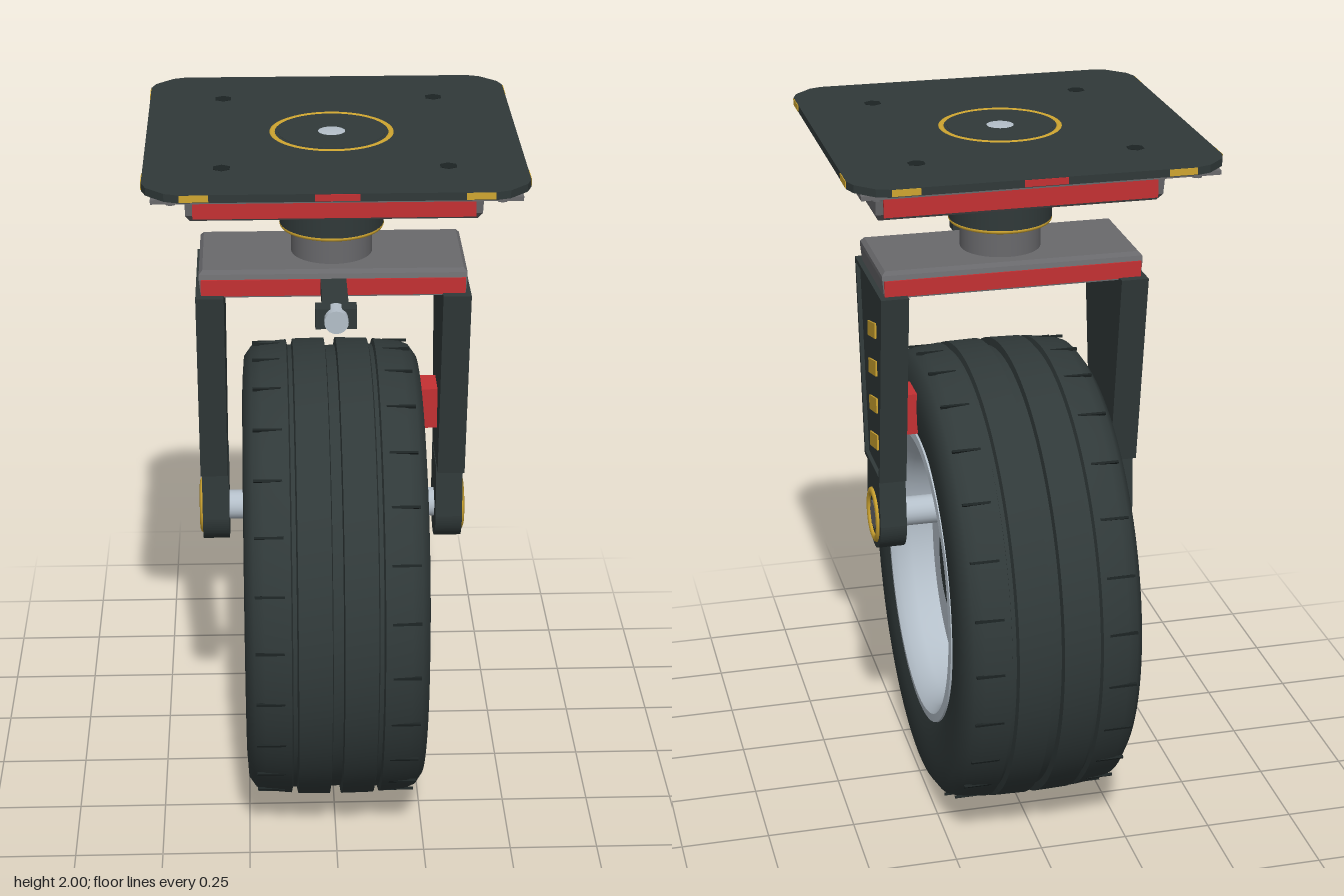
import * as THREE from 'three';
import { toCreasedNormals } from 'three/addons/utils/BufferGeometryUtils.js';

const mat = (name, color) => Object.assign(new THREE.MeshStandardMaterial({ color }), { name });

export function createModel() {
  const root = new THREE.Group();
  root.name = 'casterWheel';
  const dark = mat('darkRubberAndPaint', 0x303939);
  const black = mat('blackRecess', 0x1c2323);
  const grey = mat('greySteel', 0x69696c);
  const metal = mat('lightMetal', 0xb4bfc9);
  const yellow = mat('yellow', 0xd0a630);
  const red = mat('red', 0xc43033);

  const add = (name, geo, material, x = 0, y = 0, z = 0) => {
    const m = new THREE.Mesh(geo, material);
    m.name = name;
    m.position.set(x, y, z);
    root.add(m);
    return m;
  };
  const box = (name, material, w, h, d, x, y, z) => add(name, new THREE.BoxGeometry(w, h, d), material, x, y, z);
  // Ring or wheel turned from a closed (radius, offset) outline, on the y axis
  const turned = (pts, seg = 64) => toCreasedNormals(
    new THREE.LatheGeometry([...pts, pts[0]].map(p => new THREE.Vector2(...p)), seg), 0.6);
  // The same, with its axis along x
  const turnedX = (pts, seg) => turned(pts, seg).rotateZ(-Math.PI / 2);
  const tube = (r0, r1, a, b) => [[r1, a], [r1, b], [r0, b], [r0, a]];
  // Stack of rectangles, each [y, halfX, halfZ]
  const stack = (levels) => {
    const n = levels.length - 1;
    const g = new THREE.BoxGeometry(2, n, 2, 1, n, 1);
    const p = g.attributes.position;
    for (let i = 0; i < p.count; i++) {
      const [y, hx, hz] = levels[Math.round(p.getY(i) + n / 2)];
      p.setXYZ(i, p.getX(i) * hx, y, p.getZ(i) * hz);
    }
    const flat = g.toNonIndexed();
    flat.computeVertexNormals();
    return flat;
  };
  const poly = (pts) => new THREE.Shape(pts.map(p => new THREE.Vector2(...p)));
  // Plate drawn in the side plane, centred on its thickness along x
  const sidePlate = (shape, t) => new THREE.ExtrudeGeometry(shape, { depth: t, bevelEnabled: false, curveSegments: 20 })
    .translate(0, 0, -t / 2).rotateY(Math.PI / 2);

  // Tyre with three grooves
  const cy = 0.667;
  const half = [[0.645, 0], [0.645, 0.014], [0.667, 0.017], [0.665, 0.108], [0.647, 0.112], [0.647, 0.123],
    [0.663, 0.127], [0.656, 0.2], [0.645, 0.228], [0.615, 0.249], [0.55, 0.254], [0.48, 0.252], [0.435, 0.24], [0.43, 0.2]];
  const mirrorProfile = h => [...h.slice(1).reverse().map(([r, x]) => [r, -x]), ...h];
  add('tyre', turnedX(mirrorProfile(half), 96), dark, 0, cy, 0);

  // Shoulder cuts in the tread
  for (const s of [-1, 1]) for (let i = 0; i < 26; i++) {
    const a = (i + (s > 0 ? 0.5 : 0)) / 26 * Math.PI * 2;
    const cut = box('treadCut', black, 0.085, 0.008, 0.007, s * 0.182, cy + Math.cos(a) * 0.657, Math.sin(a) * 0.657);
    cut.rotation.x = a;
  }

  // Rim, disc, spokes and hollow hub
  add('rim', turnedX(mirrorProfile([[0.36, 0], [0.36, 0.12], [0.37, 0.19], [0.39, 0.23], [0.412, 0.248],
    [0.436, 0.246], [0.445, 0.2]]).reverse(), 72), metal, 0, cy, 0);
  add('wheelDisc', turnedX(tube(0.05, 0.333, 0.09, 0.13)), metal, 0, cy, 0);
  add('hub', turnedX(tube(0.05, 0.145, -0.1, 0.15), 48), dark, 0, cy, 0);
  add('hubSleeve', turnedX(tube(0.05, 0.078, -0.16, -0.09), 32), metal, 0, cy, 0);
  for (let i = 0; i < 8; i++) {
    const a = i / 8 * Math.PI * 2;
    const spoke = box('spoke', grey, 0.09, 0.23, 0.035, 0.05, cy + Math.cos(a) * 0.25, Math.sin(a) * 0.25);
    spoke.rotation.x = a;
    add('hubBolt', new THREE.CylinderGeometry(0.013, 0.013, 0.02, 6).rotateZ(Math.PI / 2), metal,
      -0.105, cy + Math.cos(a) * 0.112, Math.sin(a) * 0.112);
  }

  // Fork legs, links, axle pins and stripes
  const legOutline = [[-0.11, 1.015], [0.11, 1.015], [0.19, 1.588], [-0.19, 1.588]];
  const frame = poly(legOutline);
  frame.holes.push(new THREE.Path([[-0.098, 1.028], [-0.174, 1.575], [0.174, 1.575], [0.098, 1.028]]
    .map(p => new THREE.Vector2(...p))));
  const link = new THREE.Shape();
  link.moveTo(0.085, 1.02);
  link.lineTo(-0.085, 1.02);
  link.lineTo(-0.097, 0.87);
  link.absarc(0, 0.87, 0.097, Math.PI, Math.PI * 2, false);
  link.closePath();
  for (const s of [-1, 1]) {
    add('forkLeg', sidePlate(poly(legOutline), 0.066), dark, s * 0.331);
    add('forkLegEdge', sidePlate(frame, 0.012), dark, s * 0.369);
    add('axleLink', sidePlate(link, 0.076), dark, s * 0.334);
    for (let i = 0; i < 4; i++) {
      const y = 1.1 + i * 0.112;
      add('yellowStripe', sidePlate(poly([[-0.053, y - 0.035], [0.053, y - 0.008], [0.053, y + 0.037], [-0.053, y + 0.008]]), 0.006),
        yellow, s * 0.366);
    }
    add('axlePin', new THREE.CylinderGeometry(0.042, 0.042, 0.17, 24).rotateZ(Math.PI / 2), metal, s * 0.225, 0.87, 0);
    add('axleCapRing', new THREE.TorusGeometry(0.069, 0.013, 8, 32).rotateY(Math.PI / 2), yellow, s * 0.368, 0.87, 0);
    add('axleNut', new THREE.CylinderGeometry(0.042, 0.042, 0.012, 6).rotateZ(Math.PI / 2), grey, s * 0.37, 0.87, 0);
  }
  box('brakePad', red, 0.05, 0.12, 0.1, 0.276, 1.19, 0);

  // Crown joining the legs
  add('forkCrown', stack([[1.58, 0.36, 0.158], [1.632, 0.365, 0.16], [1.645, 0.365, 0.155], [1.656, 0.355, 0.147]]), grey);
  for (const s of [-1, 1]) {
    box('crownRedPanel', red, 0.72, 0.046, 0.008, 0, 1.609, s * 0.161);
    box('housingRedPanel', red, 0.75, 0.07, 0.008, 0, 1.876, s * 0.25);
  }

  // Brake lever
  box('leverArm', dark, 0.07, 0.036, 0.25, 0, 1.614, 0.27);
  box('leverHead', dark, 0.11, 0.056, 0.05, 0, 1.612, 0.372);
  add('leverKnob', new THREE.CylinderGeometry(0.032, 0.032, 0.06, 20).rotateX(Math.PI / 2), metal, 0, 1.612, 0.392);

  // Swivel neck and housing
  add('swivelNeck', new THREE.CylinderGeometry(0.112, 0.112, 0.1, 40), grey, 0, 1.69, 0);
  add('swivelRing', new THREE.TorusGeometry(0.136, 0.008, 8, 48).rotateX(Math.PI / 2), yellow, 0, 1.738, 0);
  add('swivelCollar', new THREE.CylinderGeometry(0.143, 0.143, 0.09, 40), dark, 0, 1.786, 0);
  add('swivelHousing', stack([[1.822, 0.383, 0.212], [1.845, 0.394, 0.238], [1.9, 0.396, 0.246],
    [1.95, 0.383, 0.23], [1.976, 0.37, 0.215]]), grey);

  // Mounting plate with cut, softened corners
  const q = [[0.5, 0.405], [0.488, 0.44], [0.44, 0.488], [0.405, 0.5]];
  const corners = [];
  for (let k = 0; k < 4; k++) for (const [x, y] of q) {
    corners.push([[x, y], [-y, x], [-x, -y], [y, -x]][k]);
  }
  add('mountingPlate', new THREE.ExtrudeGeometry(poly(corners), { depth: 0.021, bevelEnabled: false })
    .rotateX(-Math.PI / 2), dark, 0, 1.976, 0);

  // Lower frame, edge markings and screws under the plate
  for (const s of [-1, 1]) {
    box('plateLip', grey, 0.95, 0.012, 0.025, 0, 1.97, s * 0.4625);
    box('plateLip', grey, 0.025, 0.012, 0.95, s * 0.4625, 1.97, 0);
    box('edgeRedMark', red, 0.115, 0.018, 0.004, 0, 1.987, s * 0.5);
    for (const t of [-1, 1]) {
      box('edgeYellowMark', yellow, 0.075, 0.018, 0.004, t * 0.364, 1.987, s * 0.5);
      box('edgeYellowMark', yellow, 0.004, 0.018, 0.075, s * 0.5, 1.987, t * 0.364);
      add('plateScrew', new THREE.CylinderGeometry(0.014, 0.014, 0.03, 8), grey, s * 0.425, 1.962, t * 0.425);
      add('boltRecess', new THREE.CylinderGeometry(0.025, 0.025, 0.004, 6), black, s * 0.295, 1.996, t * 0.295);
    }
  }

  // King pin on top
  add('topRing', new THREE.TorusGeometry(0.161, 0.017, 8, 48).rotateX(Math.PI / 2), yellow, 0, 1.983, 0);
  add('topDisc', new THREE.CylinderGeometry(0.145, 0.145, 0.004, 48), dark, 0, 1.996, 0);
  add('kingPin', new THREE.SphereGeometry(0.065, 28, 10, 0, Math.PI * 2, 0, Math.PI / 2).scale(1, 0.15, 1), metal, 0, 1.99, 0);
  return root;
}
